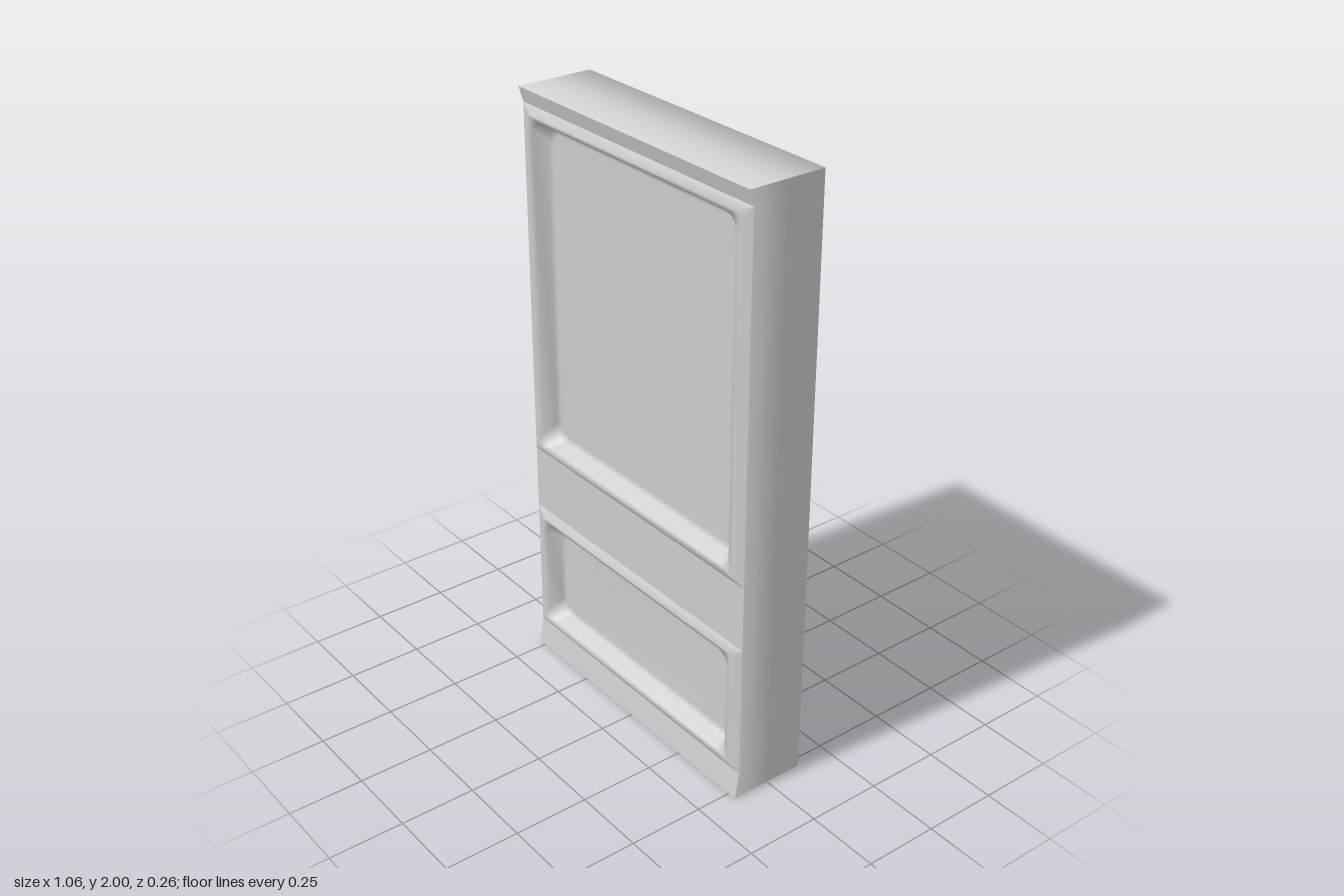
import * as THREE from 'three';

const W = 0.53, H = 2, BACK = -0.13, CREST = 0.13, BASE = 0.115;
const LOW = 0.09, RAIL0 = 0.55, RAIL1 = 0.77, HIGH = 1.95;

function makeMesh(name, points, index, normals) {
  const geo = new THREE.BufferGeometry();
  geo.setAttribute('position', new THREE.Float32BufferAttribute(points.flat(), 3));
  geo.setIndex(index);
  if (normals) geo.setAttribute('normal', new THREE.Float32BufferAttribute(normals.flat(), 3));
  else geo.computeVertexNormals();
  const mesh = new THREE.Mesh(geo, new THREE.MeshStandardMaterial({ color: 0xcccccc }));
  mesh.name = name;
  return mesh;
}

// Counter-clockwise rounded rectangle at height z
function ring(hw, y0, y1, z, r) {
  const pts = [], n = 6;
  const corners = [[hw - r, y1 - r], [r - hw, y1 - r], [r - hw, y0 + r], [hw - r, y0 + r]];
  corners.forEach(([cx, cy], q) => {
    for (let i = 0; i <= n; i++) {
      const a = (q + i / n) * Math.PI / 2;
      pts.push([cx + r * Math.cos(a), cy + r * Math.sin(a), z]);
    }
  });
  return pts;
}

// Raised rim around a sunken field, lofted through nested rings
function sunkenPanel(name, y0, y1) {
  const steps = [[0, 0, BASE, 0.0005], [0.035, 0.025, CREST, 0.02], [0.06, 0.04, 0.125, 0.04],
    [0.075, 0.06, 0.08, 0.045], [0.095, 0.08, 0.075, 0.045]];
  const rings = steps.map(([dx, dy, z, r]) => ring(W - dx, y0 + dy, y1 - dy, z, r));
  const n = rings[0].length, points = rings.flat(), index = [];
  for (let k = 0; k < rings.length - 1; k++) {
    for (let i = 0; i < n; i++) {
      const a = k * n + i, b = k * n + (i + 1) % n;
      index.push(a, b, b + n, a, b + n, a + n);
    }
  }
  const last = (rings.length - 1) * n;
  points.push([0, (y0 + y1) / 2, 0.075]);
  for (let i = 0; i < n; i++) index.push(last + i, last + (i + 1) % n, points.length - 1);
  return makeMesh(name, points, index);
}

// Full-width front strip between two heights
function rail(name, y0, z0, y1, z1) {
  return makeMesh(name, [[-W, y0, z0], [W, y0, z0], [W, y1, z1], [-W, y1, z1]], [0, 1, 2, 0, 2, 3]);
}

// Edge wall from back to front, with normals fanned for a soft rounded look
function edgeWall(name, frontLine, out) {
  const points = [], normals = [], index = [];
  const cuts = 6;
  for (const [x, y, z] of frontLine) {
    for (let j = 0; j <= cuts; j++) {
      const t = j / cuts;
      points.push([x, y, BACK + (z - BACK) * t]);
      normals.push(new THREE.Vector3(out[0], out[1], (t - 0.5) * 1.5).normalize().toArray());
    }
  }
  for (let i = 0; i < frontLine.length - 1; i++) {
    for (let j = 0; j < cuts; j++) {
      const a = i * (cuts + 1) + j, b = a + cuts + 1;
      index.push(a, b, b + 1, a, b + 1, a + 1);
    }
  }
  return makeMesh(name, points, index, normals);
}

export function createModel() {
  const group = new THREE.Group();
  group.name = 'panelledSlab';

  // Front: three rails and two sunken panels
  group.add(
    rail('bottomRail', 0, CREST, LOW, BASE),
    rail('middleRail', RAIL0, BASE, RAIL1, BASE),
    rail('topRail', HIGH, BASE, H, CREST),
    sunkenPanel('lowerPanel', LOW, RAIL0),
    sunkenPanel('upperPanel', RAIL1, HIGH),
  );

  // Outer edges, flared forward at the corners
  const profile = [[0, CREST], [LOW, BASE], [HIGH, BASE], [H, CREST]];
  const left = profile.map(([y, z]) => [W, y, z]);
  const right = profile.map(([y, z]) => [-W, y, z]).reverse();
  group.add(
    edgeWall('leftEdge', left, [1, 0]),
    edgeWall('topEdge', [[W, H, CREST], [-W, H, CREST]], [0, 1]),
    edgeWall('rightEdge', right, [-1, 0]),
    edgeWall('bottomEdge', [[-W, 0, CREST], [W, 0, CREST]], [0, -1]),
  );

  // Flat back
  group.add(makeMesh('back', [[W, 0, BACK], [-W, 0, BACK], [-W, H, BACK], [W, H, BACK]], [0, 1, 2, 0, 2, 3]));
  return group;
}
